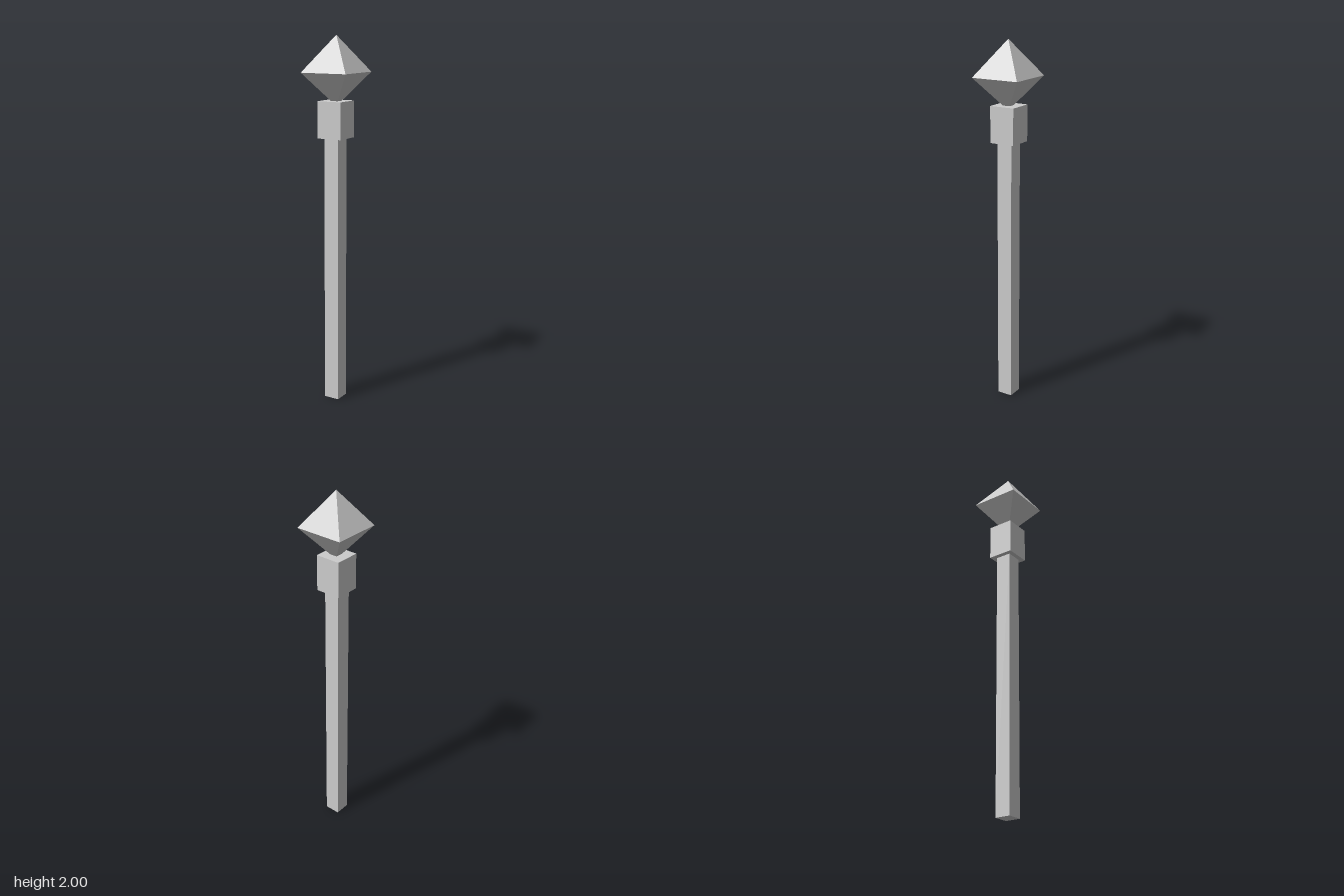
import * as THREE from 'three';

export function createModel() {
  const group = new THREE.Group();
  const grey = new THREE.MeshStandardMaterial({ color: 0xcccccc, flatShading: true });
  grey.name = 'stone grey';

  const add = (name, geometry, x = 0, y = 0, z = 0) => {
    const mesh = new THREE.Mesh(geometry, grey);
    mesh.name = name;
    mesh.position.set(x, y, z);
    group.add(mesh);
  };

  // Square block standing between two heights
  const addBlock = (name, width, bottom, top, x, z) =>
    add(name, new THREE.BoxGeometry(width, top - bottom, width), x, (bottom + top) / 2, z);

  // Long post and the thicker collar above it
  addBlock('shaft', 0.086, 0, 1.467, -0.005, 0.001);
  addBlock('collar', 0.14, 1.467, 1.662, -0.004, -0.001);

  // Four-sided double pyramid, its lower tip sunk into the collar
  const profile = [[0, 1.635], [0.134 * Math.SQRT2, 1.81], [0, 2]]
    .map(([r, y]) => new THREE.Vector2(r, y));
  add('finial', new THREE.LatheGeometry(profile, 4, Math.PI / 4));

  return group;
}
